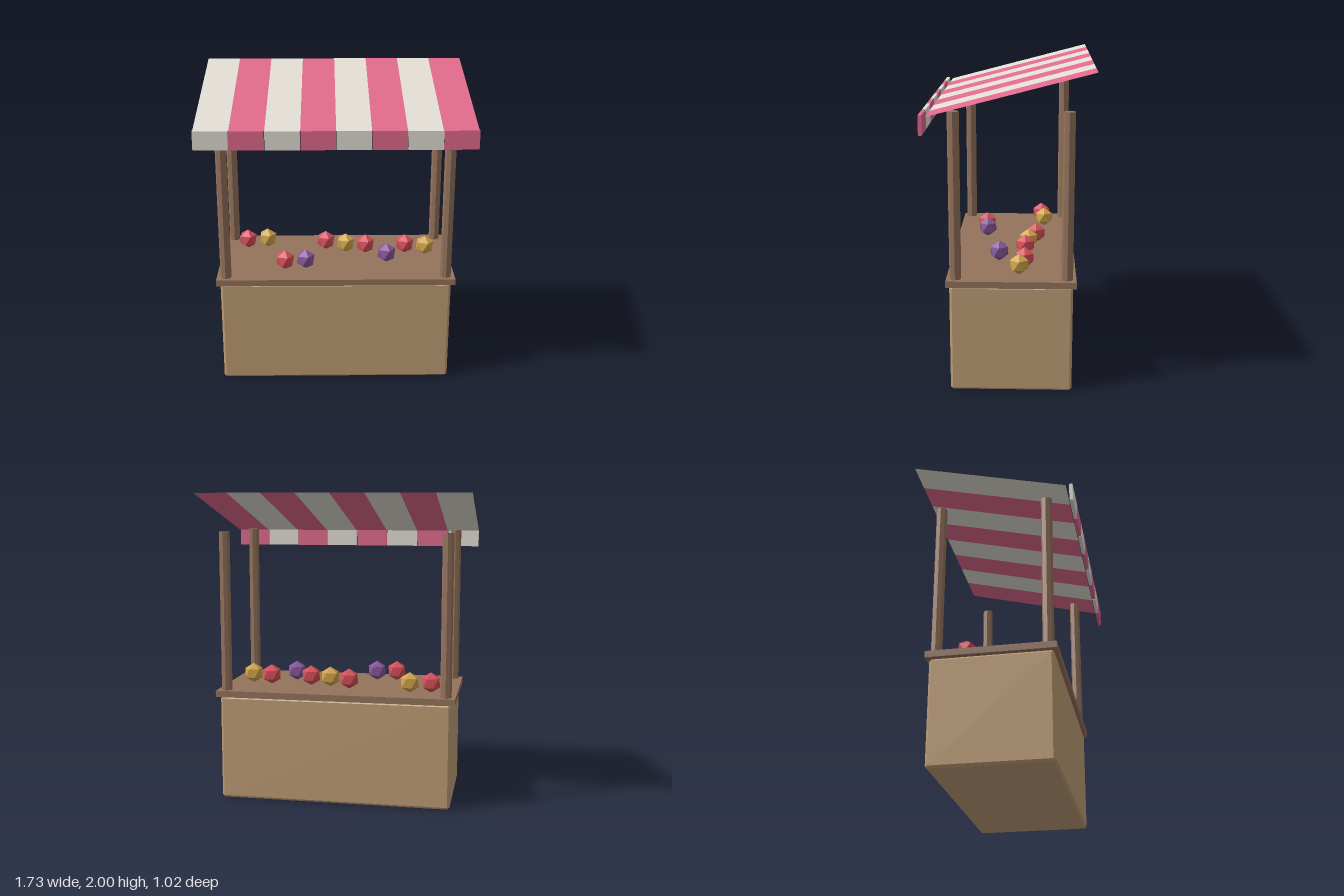
import * as THREE from 'three';
import { ConvexGeometry } from 'three/addons/geometries/ConvexGeometry.js';

const material = (name, color, extra = {}) => {
  const m = new THREE.MeshStandardMaterial({ color, ...extra });
  m.name = name;
  return m;
};

// Box with all edges chamfered by c
function chamferBox(w, h, d, c) {
  const pts = [];
  for (const x of [-w / 2, w / 2]) for (const y of [-h / 2, h / 2]) for (const z of [-d / 2, d / 2]) {
    const sx = Math.sign(x) * c, sy = Math.sign(y) * c, sz = Math.sign(z) * c;
    pts.push(
      new THREE.Vector3(x, y - sy, z - sz),
      new THREE.Vector3(x - sx, y, z - sz),
      new THREE.Vector3(x - sx, y - sy, z));
  }
  return new ConvexGeometry(pts);
}

export function createModel() {
  const group = new THREE.Group();
  group.name = 'marketStall';

  const mats = {
    body: material('tan wood', 0xbf9d75),
    wood: material('brown wood', 0x94735c, { flatShading: true }),
    cream: material('cream cloth', 0xe2ded5, { side: THREE.DoubleSide }),
    pink: material('pink cloth', 0xe06a8c, { side: THREE.DoubleSide }),
    red: material('red fruit', 0xd64f5a),
    gold: material('golden fruit', 0xd0a448),
    purple: material('purple fruit', 0x87579a),
  };

  const add = (name, geometry, mat, x, y, z) => {
    const mesh = new THREE.Mesh(geometry, mat);
    mesh.name = name;
    mesh.position.set(x, y, z);
    group.add(mesh);
    return mesh;
  };

  const midZ = -0.018;

  // Counter and its overhanging top
  add('counterBody', chamferBox(1.506, 0.685, 0.756, 0.015), mats.body, 0, 0.3425, midZ);
  add('counterTop', new THREE.BoxGeometry(1.555, 0.042, 0.796), mats.wood, 0, 0.704, midZ);

  // Four eight-sided posts
  const postGeo = new THREE.CylinderGeometry(0.036, 0.036, 1.05, 8);
  for (const sx of [-1, 1]) for (const sz of [-1, 1]) {
    add('post', postGeo, mats.wood, sx * 0.717, 1.23, midZ + sz * 0.341);
  }

  // Sloping striped awning with a hanging valance
  const stripes = 8, halfW = 0.866, stripeW = (2 * halfW) / stripes;
  const back = { y: 2.0, z: -0.511 }, front = { y: 1.745, z: 0.467 };
  const rise = back.y - front.y, run = front.z - back.z;
  const stripeGeo = new THREE.PlaneGeometry(stripeW, Math.hypot(rise, run));
  stripeGeo.rotateX(-Math.PI / 2 + Math.atan2(rise, run));
  const flapGeo = new THREE.BoxGeometry(stripeW - 0.004, 0.118, 0.022);
  for (let i = 0; i < stripes; i++) {
    const x = -halfW + (i + 0.5) * stripeW;
    const mat = i % 2 ? mats.pink : mats.cream;
    add('awningStripe', stripeGeo, mat, x, (back.y + front.y) / 2, (back.z + front.z) / 2);
    add('valanceFlap', flapGeo, mat, x, 1.695, 0.499);
  }

  // Faceted fruit, each standing on a corner
  const fruitGeo = new THREE.IcosahedronGeometry(0.067, 0);
  fruitGeo.rotateZ(-Math.atan(2 / (1 + Math.sqrt(5))));
  const fruit = [
    ['red', -0.20], ['gold', -0.22], ['red', 0.185], ['purple', 0.173], ['red', -0.165],
    ['gold', -0.115], ['red', -0.095], ['purple', 0.07], ['red', -0.095], ['gold', -0.064],
  ];
  fruit.forEach(([color, z], i) => {
    add(color + 'Fruit', fruitGeo, mats[color], -0.608 + i * 0.1363, 0.788, z);
  });

  return group;
}
